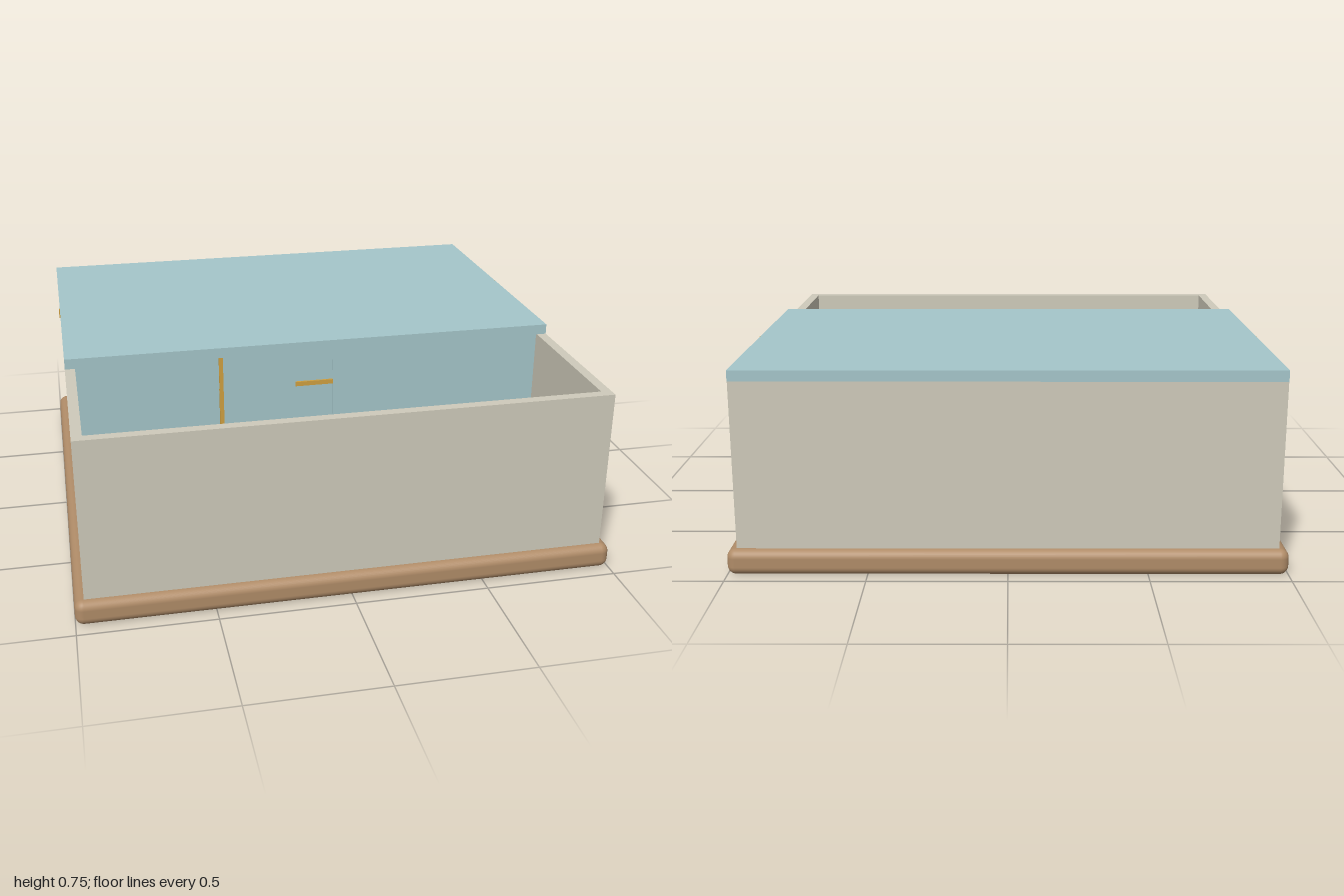
import * as THREE from 'three';
import { RoundedBoxGeometry } from 'three/addons/geometries/RoundedBoxGeometry.js';

const mat = (color) => new THREE.MeshStandardMaterial({ color });
const M = {
  wood: mat(0xb08c68), wall: mat(0xcfcbbb), blue: mat(0xa5c6ca), gold: mat(0xd0a040),
  tileLight: mat(0xcfcbbb), tileDark: mat(0xa2aea9), screen: mat(0x4f86a8),
  dark: mat(0x2d363c), skin: mat(0xc89a78), shirtBlue: mat(0x4f86a8), shirtOrange: mat(0xb87038),
};

function add(parent, name, geometry, material, x = 0, y = 0, z = 0) {
  const mesh = new THREE.Mesh(geometry, material);
  mesh.name = name;
  mesh.position.set(x, y, z);
  parent.add(mesh);
  return mesh;
}

// Box given by its limits on each axis
function box(parent, name, material, x0, x1, y0, y1, z0, z1) {
  return add(parent, name, new THREE.BoxGeometry(x1 - x0, y1 - y0, z1 - z0), material,
    (x0 + x1) / 2, (y0 + y1) / 2, (z0 + z1) / 2);
}

function person(name, shirt, x, z) {
  const g = new THREE.Group();
  g.name = name;
  for (const s of [-1, 1]) {
    add(g, 'leg', new THREE.CapsuleGeometry(0.016, 0.11, 4, 10), M.dark, s * 0.02, 0.075, 0);
    add(g, 'shoe', new THREE.SphereGeometry(0.02, 12, 8), M.dark, s * 0.026, 0.016, -0.024);
    add(g, 'arm', new THREE.CapsuleGeometry(0.014, 0.09, 4, 10), shirt, s * 0.05, 0.185, 0).rotation.z = s * 0.1;
    add(g, 'hand', new THREE.SphereGeometry(0.014, 10, 8), M.skin, s * 0.056, 0.125, 0);
  }
  add(g, 'torso', new THREE.CapsuleGeometry(0.037, 0.07, 6, 14), shirt, 0, 0.185, 0);
  add(g, 'head', new THREE.SphereGeometry(0.038, 18, 12), M.skin, 0, 0.29, 0);
  add(g, 'hair', new THREE.SphereGeometry(0.042, 18, 8, 0, Math.PI * 2, 0, Math.PI * 0.5), M.dark, 0, 0.293, 0);
  g.position.set(x, 0.1, z);
  return g;
}

export function createModel() {
  const model = new THREE.Group();
  model.name = 'cutawayRoom';
  const BASE = 0.095, TOP = 0.705, WX = 0.965, WZ = 0.925, T = 0.038;

  // Rounded plinth
  add(model, 'base', new RoundedBoxGeometry(2, BASE, 1.91, 4, 0.032), M.wood, 0, BASE / 2, 0);

  // Checkered floor tiles with open joints
  const floor = new THREE.Group();
  floor.name = 'floor';
  model.add(floor);
  const pitch = 0.168, tile = new THREE.BoxGeometry(pitch - 0.008, 0.012, pitch - 0.008);
  for (let i = 0; i < 11; i++) for (let j = 0; j < 10; j++) {
    add(floor, 'floorTile', tile, (i + j) % 2 ? M.tileDark : M.tileLight,
      (i - 5) * pitch, BASE + 0.004, (j - 4.5) * 0.167);
  }

  // Outer walls
  for (const s of [-1, 1]) {
    add(model, s > 0 ? 'frontWall' : 'backWall', new THREE.BoxGeometry(WX * 2, TOP - BASE, T), M.wall,
      0, (TOP + BASE) / 2, s * (WZ - T / 2));
    add(model, s > 0 ? 'leftWall' : 'rightWall', new THREE.BoxGeometry(T, TOP - BASE, (WZ - T) * 2), M.wall,
      s * (WX - T / 2), (TOP + BASE) / 2, 0);
  }

  // Partition wall with two doorways
  const partition = new THREE.Group();
  partition.name = 'partition';
  model.add(partition);
  const zf = 0.267, zb = 0.235, head = 0.572, inX = WX - T;
  for (const [a, b] of [[-inX, -0.63], [-0.37, -0.075], [0.077, inX]]) {
    box(partition, 'partitionPanel', M.blue, a, b, BASE, TOP, zb, zf);
  }
  for (const [a, b] of [[-0.63, -0.37], [-0.075, 0.077]]) {
    box(partition, 'doorHeader', M.blue, a, b, head, TOP, zb, zf - 0.002);
    box(partition, 'door', M.blue, a, b, BASE, head, zb, zf - 0.008);
  }
  box(partition, 'goldPost', M.gold, -0.378, -0.362, BASE, TOP, zf - 0.01, zf + 0.004);
  box(partition, 'goldLintel', M.gold, -0.075, 0.077, 0.56, 0.578, zf - 0.01, zf + 0.006);

  // Roof slab over the back part, with a gold band showing at its ends
  box(model, 'roof', M.blue, -WX, WX, TOP, 0.745, -0.928, 0.275);
  box(model, 'roofBand', M.gold, -WX - 0.004, WX + 0.004, TOP + 0.002, 0.743, -0.335, -0.321);

  // Desk with inset screen
  const desk = new THREE.Group();
  desk.name = 'desk';
  model.add(desk);
  box(desk, 'deskTop', M.wood, -0.875, -0.71, 0.225, 0.245, 0.59, 0.82);
  box(desk, 'deskBody', M.wood, -0.86, -0.725, BASE, 0.225, 0.605, 0.805);
  box(desk, 'deskScreen', M.screen, -0.836, -0.747, 0.24, 0.255, 0.645, 0.763);

  // Two figures
  model.add(person('blueFigure', M.shirtBlue, 0, 0.55), person('orangeFigure', M.shirtOrange, 0.125, 0.64));
  return model;
}
